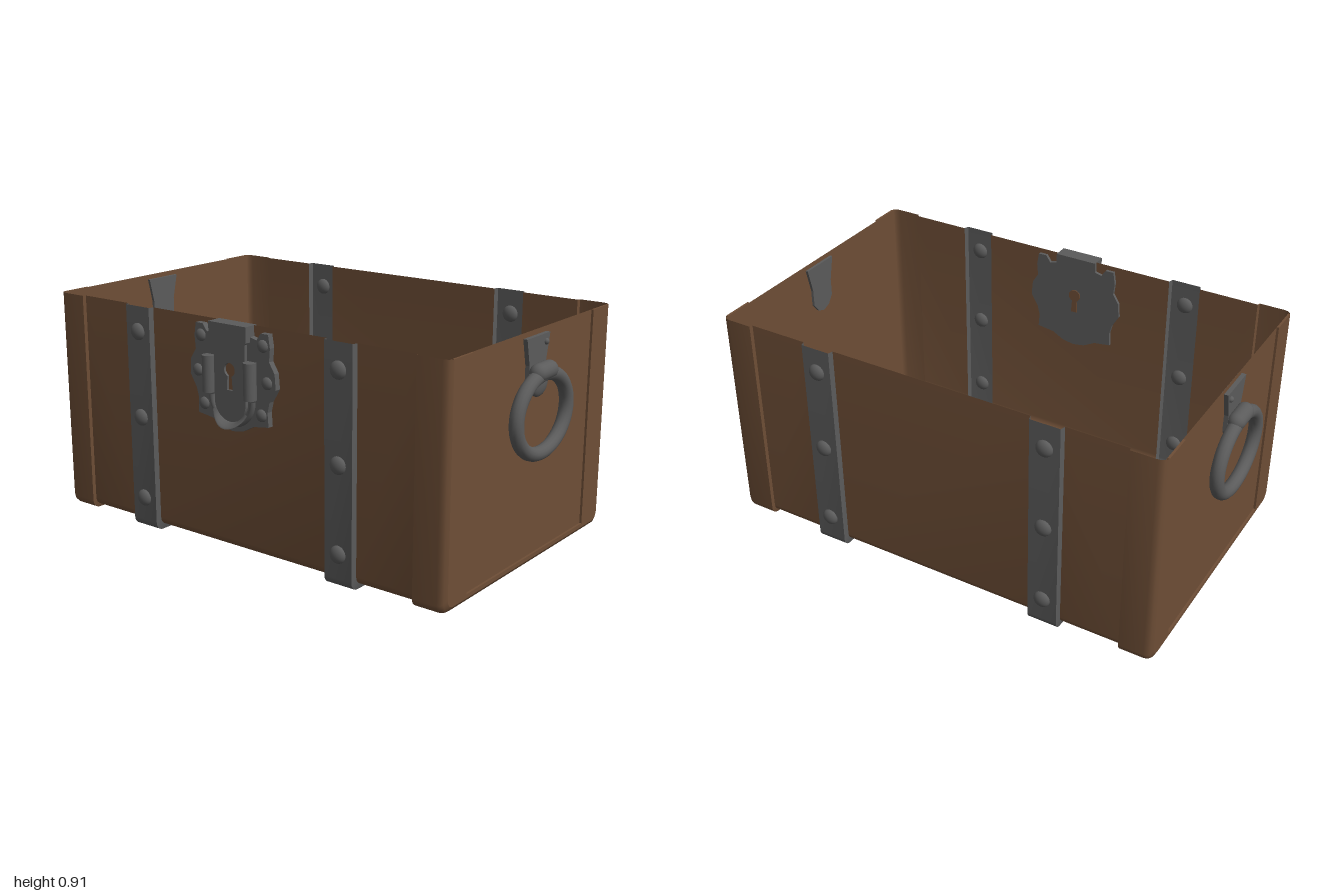
import * as THREE from 'three';
import { toCreasedNormals } from 'three/addons/utils/BufferGeometryUtils.js';

const TOP = 0.91;
const mat = (name, color) => {
  const m = new THREE.MeshStandardMaterial({ color, side: THREE.DoubleSide });
  m.name = name;
  return m;
};

export function createModel() {
  const wood = mat('wood', 0x6e4e36);
  const iron = mat('iron', 0x5b5b5b);
  const chest = new THREE.Group();
  chest.name = 'openChest';

  const add = (parent, name, geo, material, x = 0, y = 0, z = 0) => {
    const m = new THREE.Mesh(geo, material);
    m.name = name;
    m.position.set(x, y, z);
    parent.add(m);
    return m;
  };

  // U-shaped cross-section (z, y), grown outward by d
  const profile = (d) => {
    const zf = 0.54 + d, zb = -0.585 - d, yb = 0.02 - d, r = 0.035, pts = [[zf, TOP]];
    for (let i = 0; i <= 5; i++) {
      const a = (i / 5) * Math.PI / 2;
      pts.push([zf - r + r * Math.cos(a), yb + r - r * Math.sin(a)]);
    }
    for (let i = 0; i <= 5; i++) {
      const a = (i / 5) * Math.PI / 2;
      pts.push([zb + r - r * Math.sin(a), yb + r - r * Math.cos(a)]);
    }
    pts.push([zb, TOP]);
    return pts;
  };

  // Skin through U-sections at stations [x, d]
  const skin = (stations) => {
    const pos = [], idx = [];
    stations.forEach(([x, d]) => profile(d).forEach(([z, y]) => pos.push(x, y, z)));
    const n = profile(0).length;
    for (let s = 0; s < stations.length - 1; s++) {
      for (let i = 0; i < n - 1; i++) {
        const a = s * n + i, b = a + n;
        idx.push(a, a + 1, b, a + 1, b + 1, b);
      }
    }
    const g = new THREE.BufferGeometry();
    g.setAttribute('position', new THREE.Float32BufferAttribute(pos, 3));
    g.setIndex(idx);
    return toCreasedNormals(g, 0.6);
  };

  const shapeOf = (pts) => new THREE.Shape(pts.map(([x, y]) => new THREE.Vector2(x, y)));
  const extrude = (shape, depth, bevel = 0) => new THREE.ExtrudeGeometry(shape, {
    depth, curveSegments: 16, bevelEnabled: bevel > 0, bevelSize: bevel, bevelThickness: bevel, bevelSegments: 2,
  });

  // Plank panels between the straps
  const c = 0.485, w = 0.067;
  add(chest, 'middlePanel', skin([[-c + w, 0], [c - w, 0]]), wood);

  // Straps wrap front, floor and back
  const domeGeo = new THREE.SphereGeometry(0.034, 20, 12);
  const rivet = (parent, name, x, y, z, s = 1) => {
    add(parent, name, domeGeo, iron, x, y, z).scale.set(s, s, s * 0.6);
  };
  for (const side of [-1, 1]) {
    const k = side * c;
    add(chest, 'strap', skin([[k - w, 0], [k - w + 0.006, 0.02], [k + w - 0.006, 0.02], [k + w, 0]]), iron);
    for (const y of [0.13, 0.465, 0.81]) {
      rivet(chest, 'frontRivet', k, y, 0.56);
      rivet(chest, 'backRivet', k, y, -0.605);
    }
  }

  // One end: outer planks, corner posts, end panel and ring handle
  const makeEnd = () => {
    const end = new THREE.Group();
    end.name = 'chestEnd';
    add(end, 'outerPanel', skin([[c + w, 0], [0.795, 0]]), wood);
    add(end, 'cornerPosts', skin([[0.795, 0], [0.8, 0.012], [0.9, 0.012], [0.915, 0.009], [0.924, 0.003], [0.932, -0.01]]), wood);
    const outline = (d) => profile(d).map(([z, y]) => [-z, y]);
    add(end, 'endPanel', new THREE.ShapeGeometry(shapeOf(outline(0))).rotateY(Math.PI / 2), wood, 0.923);
    const frame = shapeOf([...outline(-0.01), [0.45, TOP], [0.45, 0.045], [-0.41, 0.045], [-0.41, TOP]]);
    add(end, 'endPosts', extrude(frame, 0.009).rotateY(Math.PI / 2), wood, 0.923);

    const handle = new THREE.Group();
    handle.name = 'handle';
    end.add(handle);
    const plate = shapeOf([[-0.068, 0.89], [0.098, 0.89], [0.075, 0.79], [0.075, 0.72], [0.05, 0.685],
      [0.015, 0.672], [-0.02, 0.685], [-0.045, 0.72], [-0.045, 0.79]]);
    add(handle, 'handlePlate', extrude(plate, 0.028).rotateY(Math.PI / 2), iron, 0.912);
    add(handle, 'sleeve', new THREE.CapsuleGeometry(0.034, 0.075, 6, 20).rotateX(Math.PI / 2), iron, 0.965, 0.765, -0.015);
    add(handle, 'tongue', new THREE.SphereGeometry(1, 24, 12), iron, 0.945, 0.725, -0.015).scale.set(0.022, 0.058, 0.06);
    const ringPts = [];
    for (let i = 0; i < 24; i++) {
      const a = (i / 24) * Math.PI * 2;
      ringPts.push(new THREE.Vector3(0.966, 0.608 + 0.147 * Math.sin(a), -0.015 + 0.183 * Math.cos(a)));
    }
    add(handle, 'ring', new THREE.TubeGeometry(new THREE.CatmullRomCurve3(ringPts, true), 64, 0.027, 14, true), iron);
    add(handle, 'plateRivet', new THREE.SphereGeometry(0.012, 12, 8), iron, 0.94, 0.86, -0.07);
    return end;
  };
  const leftEnd = makeEnd(), rightEnd = makeEnd();
  rightEnd.scale.x = -1;
  chest.add(leftEnd, rightEnd);

  // Lock on the front
  const lock = new THREE.Group();
  lock.name = 'lock';
  chest.add(lock);
  const half = [[0.09, 0.91], [0.09, 0.87], [0.12, 0.862], [0.14, 0.89], [0.175, 0.89], [0.183, 0.84], [0.178, 0.79],
    [0.203, 0.75], [0.208, 0.69], [0.178, 0.64], [0.168, 0.6], [0.172, 0.545], [0.1, 0.535], [0.05, 0.508], [0, 0.5]];
  const mirror = half.slice(0, -1).reverse().map(([x, y]) => [-x, y]);
  add(lock, 'lockPlate', extrude(shapeOf([...half, ...mirror]), 0.037), iron, 0, 0, 0.527);

  // Hasp with a keyhole
  const keyhole = (T) => {
    const p = new T();
    p.moveTo(-0.01, 0.712);
    p.absarc(0, 0.737, 0.026, Math.PI * 1.37, -Math.PI * 0.37, true);
    p.lineTo(0.014, 0.66);
    p.lineTo(-0.014, 0.66);
    p.closePath();
    return p;
  };
  const hasp = new THREE.Shape();
  hasp.moveTo(-0.09, 0.91);
  hasp.lineTo(-0.09, 0.86);
  hasp.lineTo(-0.075, 0.84);
  hasp.lineTo(-0.075, 0.62);
  hasp.absarc(0, 0.615, 0.075, Math.PI, Math.PI * 2, false);
  hasp.lineTo(0.075, 0.84);
  hasp.lineTo(0.09, 0.86);
  hasp.lineTo(0.09, 0.91);
  hasp.holes.push(keyhole(THREE.Path));
  add(lock, 'hasp', extrude(hasp, 0.016), iron, 0, 0, 0.562);
  add(lock, 'haspHead', new THREE.BoxGeometry(0.18, 0.06, 0.03), iron, 0, 0.88, 0.573);
  add(lock, 'keyholeFill', extrude(keyhole(THREE.Shape), 0.045), wood, 0, 0, 0.523);

  // Flared lip below the hasp, and raised rim around it
  const lipPts = [[0.066, 0.575], [0.066, 0.59], [0.058, 0.601], [0.046, 0.613], [0.03, 0.615]];
  const lipPos = [], lipIdx = [], seg = 14;
  lipPts.forEach(([, z], j) => {
    for (let i = 0; i <= seg; i++) {
      const a = Math.PI * (1.12 + 0.76 * i / seg), r = 0.07 + j * 0.005;
      lipPos.push(r * Math.cos(a), 0.61 + r * Math.sin(a), 0.575 + (z - 0.575) * Math.pow(-Math.sin(a), 2));
    }
  });
  for (let j = 0; j < lipPts.length - 1; j++) {
    for (let i = 0; i < seg; i++) {
      const a = j * (seg + 1) + i, b = a + seg + 1;
      lipIdx.push(a, b, a + 1, a + 1, b, b + 1);
    }
  }
  const lip = new THREE.BufferGeometry();
  lip.setAttribute('position', new THREE.Float32BufferAttribute(lipPos, 3));
  lip.setIndex(lipIdx);
  lip.computeVertexNormals();
  add(lock, 'haspLip', lip, iron);
  add(lock, 'lockRim', new THREE.TorusGeometry(0.1, 0.012, 10, 28, Math.PI).rotateZ(Math.PI), iron, 0, 0.63, 0.564);

  // Barrels and lock rivets
  for (const s of [-1, 1]) {
    add(lock, 'barrel', new THREE.CylinderGeometry(0.025, 0.025, 0.14, 18), iron, s * 0.1, 0.71, 0.58);
    for (const [x, y] of [[0.15, 0.845], [0.168, 0.71], [0.14, 0.585]]) {
      rivet(lock, 'lockRivet', s * x, y, 0.564, 0.7);
    }
  }
  return chest;
}
